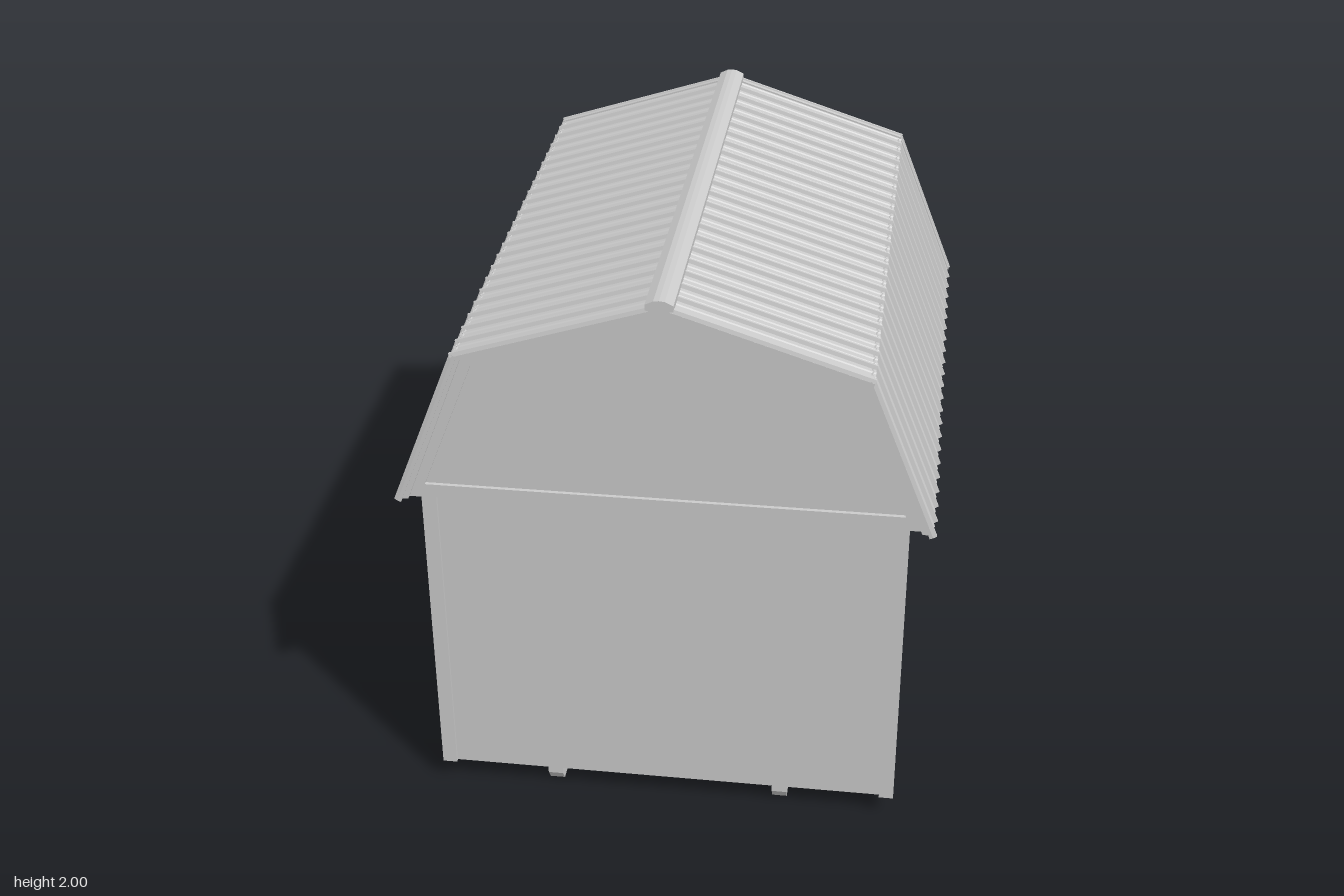
import * as THREE from 'three';

const mat = new THREE.MeshStandardMaterial({ color: 0xcccccc, flatShading: true, side: THREE.DoubleSide });

// Half profiles of the gambrel roof: ridge, knuckle, eave
const OUTER = [[0, 1.98], [0.667, 1.765], [0.888, 1.205]];
const DECK = [[0, 1.967], [0.66, 1.756], [0.876, 1.207]];
const SOFFIT = [[0, 1.945], [0.64, 1.745], [0.845, 1.21]];
const GABLE = [[0, 1.91], [0.61, 1.72], [0.79, 1.26]];

export function createModel() {
  const root = new THREE.Group();
  root.name = 'barnShed';

  function add(name, geometry, parent = root) {
    const mesh = new THREE.Mesh(geometry, mat);
    mesh.name = name;
    parent.add(mesh);
    return mesh;
  }

  // Box given by its limits on each axis
  function box(name, x0, x1, y0, y1, z0, z1) {
    add(name, new THREE.BoxGeometry(x1 - x0, y1 - y0, z1 - z0))
      .position.set((x0 + x1) / 2, (y0 + y1) / 2, (z0 + z1) / 2);
  }

  // Full left-to-right outline of a half profile
  const mirrored = (half) => [
    ...[...half].reverse().map(([x, y]) => new THREE.Vector2(-x, y)),
    ...half.slice(1).map(([x, y]) => new THREE.Vector2(x, y)),
  ];

  // Extrudes a front-facing shape between two z positions
  function slab(name, shape, z0, z1) {
    const g = new THREE.ExtrudeGeometry(shape, { depth: z1 - z0, bevelEnabled: false });
    g.translate(0, 0, z0);
    return add(name, g);
  }

  const band = (outer, inner) =>
    new THREE.Shape([...mirrored(outer), ...mirrored(inner).reverse()]);

  // Walls, corner posts and floor
  for (const s of [-1, 1]) {
    const side = s > 0 ? 'left' : 'right';
    const end = s > 0 ? 'front' : 'back';
    const [xa, xb] = s > 0 ? [0.755, 0.792] : [-0.792, -0.755];
    const [za, zb] = s > 0 ? [0.925, 0.955] : [-0.955, -0.925];
    box(side + 'Wall', xa, xb, 0.085, 1.26, -0.94, 0.94);
    box(end + 'Wall', -0.78, 0.78, 0.085, 1.26, za, zb);
    for (const t of [-1, 1]) {
      const x = t * 0.78, z = s * 0.942;
      box('cornerPost', x - 0.025, x + 0.025, 0.083, 1.215, z - 0.025, z + 0.025);
    }
  }
  box('floor', -0.77, 0.77, 0.11, 0.14, -0.94, 0.94);
  box('floorCentre', -0.38, 0.38, 0.07, 0.12, -0.92, 0.92);

  // Skids with cut-back toes
  const skid = new THREE.Shape([
    [-0.905, 0], [0.905, 0], [0.937, 0.045], [0.937, 0.112], [-0.937, 0.112], [-0.937, 0.045],
  ].map(([z, y]) => new THREE.Vector2(z, y)));
  for (const x of [-0.402, 0.402]) {
    const g = new THREE.ExtrudeGeometry(skid, { depth: 0.052, bevelEnabled: false });
    g.translate(0, 0, -0.026).rotateY(Math.PI / 2);
    add('skid', g).position.x = x;
  }

  // Gable panels, their trim frames and the rake boards
  const gable = new THREE.Shape(mirrored(GABLE));
  const frame = new THREE.Shape(mirrored(SOFFIT));
  frame.holes.push(new THREE.Path(mirrored(GABLE).reverse()));
  const rake = band(OUTER, SOFFIT);
  for (const s of [-1, 1]) {
    const between = (a, b) => (s > 0 ? [a, b] : [-b, -a]);
    slab('gablePanel', gable, ...between(0.925, 0.955));
    slab('gableTrim', frame, ...between(0.93, 0.968));
    slab('rakeBoard', rake, ...between(0.96, 0.985));
  }
  slab('roofDeck', band(DECK, SOFFIT), -0.965, 0.965);

  // Ribbed metal section: tall ribs with two low ribs between each pair
  const pts = [new THREE.Vector2(-0.99, -0.02), new THREE.Vector2(0.99, -0.02), new THREE.Vector2(0.99, -0.008)];
  const rib = (c, foot, top, h) => {
    for (const [o, v] of [[foot, -0.008], [top, h], [-top, h], [-foot, -0.008]]) {
      pts.push(new THREE.Vector2(c + o, v));
    }
  };
  for (let i = 11; i >= -11; i--) {
    rib(i * 0.0893, 0.0075, 0.004, 0.005);
    if (i > -11) for (const f of [0.33, 0.67]) rib((i - f) * 0.0893, 0.006, 0.003, -0.004);
  }
  pts.push(new THREE.Vector2(-0.99, -0.008));
  const section = new THREE.Shape(pts);

  // Runs the ribbed section down a slope from a to b
  function sheet(name, a, b, extra, parent) {
    const dir = new THREE.Vector3(b[0] - a[0], b[1] - a[1], 0);
    const length = dir.length() + extra;
    dir.normalize();
    const normal = new THREE.Vector3(-dir.y, dir.x, 0);
    const g = new THREE.ExtrudeGeometry(section, { depth: length, bevelEnabled: false });
    const m = new THREE.Matrix4().makeBasis(new THREE.Vector3(0, 0, -1), normal, dir);
    m.setPosition(a[0], a[1], 0);
    add(name, g.applyMatrix4(m), parent);
  }
  for (const s of [0, 1]) {
    const half = new THREE.Group();
    half.name = s ? 'rightRoof' : 'leftRoof';
    half.rotation.y = s * Math.PI;
    sheet('upperSheet', OUTER[0], OUTER[1], 0.006, half);
    sheet('lowerSheet', OUTER[1], OUTER[2], 0, half);
    root.add(half);
  }

  // Ridge cap
  slab('ridgeCap', band([[0, 2], [0.018, 1.998], [0.045, 1.985]], [[0, 1.96], [0.02, 1.96], [0.045, 1.965]]), -0.992, 0.992);

  return root;
}
